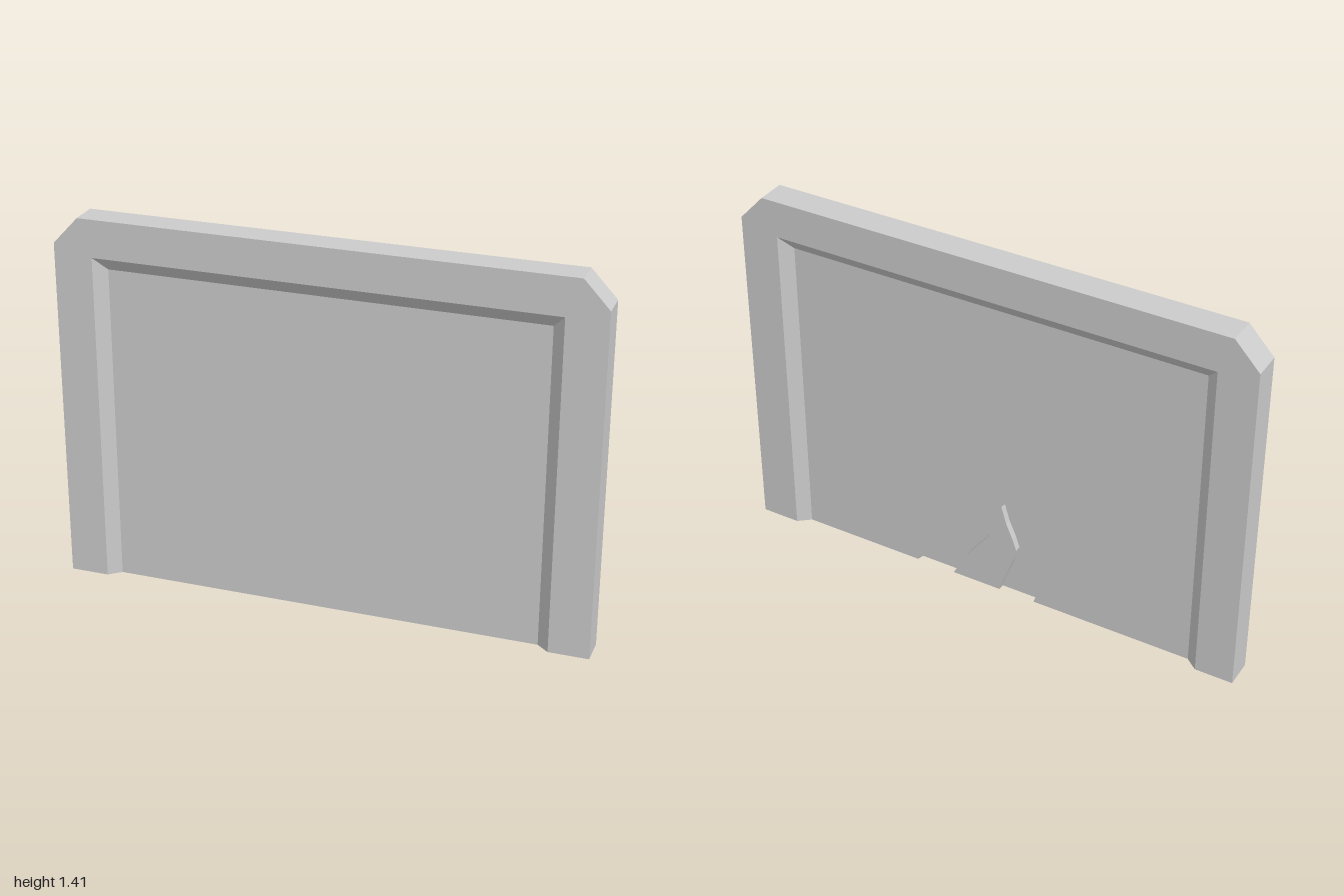
import * as THREE from 'three';

const HALF = 0.055;   // half thickness of the frame
const PANEL = 0.018;  // half thickness of the recessed panel
const FLOOR = 0.007;  // z of the sunken floor behind the broken area

const toVectors = (pts) => pts.map(([x, y]) => new THREE.Vector2(x, y));

// Flat outline extruded from z0 to z1
function slab(pts, z0, z1) {
  const geo = new THREE.ExtrudeGeometry(new THREE.Shape(toVectors(pts)), { depth: z1 - z0, bevelEnabled: false });
  return geo.translate(0, 0, z0);
}

// Sloped reveal joining the frame to the panel on both faces
function revealGeometry(outer, inner) {
  const rings = outer.map(([x, y], i) => {
    const [u, v] = inner[i];
    return [[x, y, HALF], [u, v, PANEL], [u, v, -PANEL], [x, y, -HALF]];
  });
  const pos = [];
  const quad = (a, b, c, d) => pos.push(...a, ...b, ...c, ...a, ...c, ...d);
  for (let i = 0; i < rings.length - 1; i++) {
    const p = rings[i], q = rings[i + 1];
    quad(p[0], p[1], q[1], q[0]);
    quad(p[2], p[3], q[3], q[2]);
  }
  const [a, b, c, d] = rings[0];
  quad(a, d, c, b);
  quad(...rings[rings.length - 1]);
  const geo = new THREE.BufferGeometry();
  geo.setAttribute('position', new THREE.Float32BufferAttribute(pos, 3));
  geo.computeVertexNormals();
  return geo;
}

export function createModel() {
  const group = new THREE.Group();
  const material = new THREE.MeshStandardMaterial({ color: 0xcccccc, flatShading: true });
  const add = (name, geo) => {
    const mesh = new THREE.Mesh(geo, material);
    mesh.name = name;
    group.add(mesh);
    return mesh;
  };

  // Opening in the frame, and the smaller panel inside it
  const opening = [[-0.855, 0], [-0.855, 1.27], [0.85, 1.27], [0.85, 0]];
  const inner = [[-0.81, 0], [-0.81, 1.22], [0.805, 1.22], [0.805, 0]];

  // Surrounding frame with clipped top corners
  add('frame', slab([
    [-1, 0], [-1, 1.31], [-0.905, 1.412], [0.905, 1.412], [1, 1.31], [1, 0],
    ...[...opening].reverse(),
  ], -HALF, HALF));
  add('reveal', revealGeometry(opening, inner));

  // Intact front layer of the panel
  add('frontPanel', slab(inner, FLOOR, PANEL));

  // Back layer with a broken-out area; drawn as seen from behind, then turned round
  const breakEdge = [
    [0.18, 0], [0.212, 0.1], [0.232, 0.19], [0.234, 0.235], [0.222, 0.31],
    [0.205, 0.39], [0.19, 0.45], [0.175, 0.533], [-0.32, 0],
  ];
  const backInner = inner.map(([x, y]) => [-x, y]).reverse();
  add('backPanel', slab(
    [...backInner, ...breakEdge], -FLOOR, PANEL,
  )).rotation.y = Math.PI;

  // Shard left standing inside the broken area
  add('shard', slab([
    [-0.163, 0], [0.035, 0], [0.062, 0.08], [0.09, 0.155], [0.105, 0.21], [0.09, 0.255],
    [0.062, 0.32], [0.042, 0.39], [0.025, 0.372], [0.015, 0.315], [-0.01, 0.235], [-0.1, 0.115],
  ], -FLOOR, PANEL)).rotation.y = Math.PI;

  return group;
}
